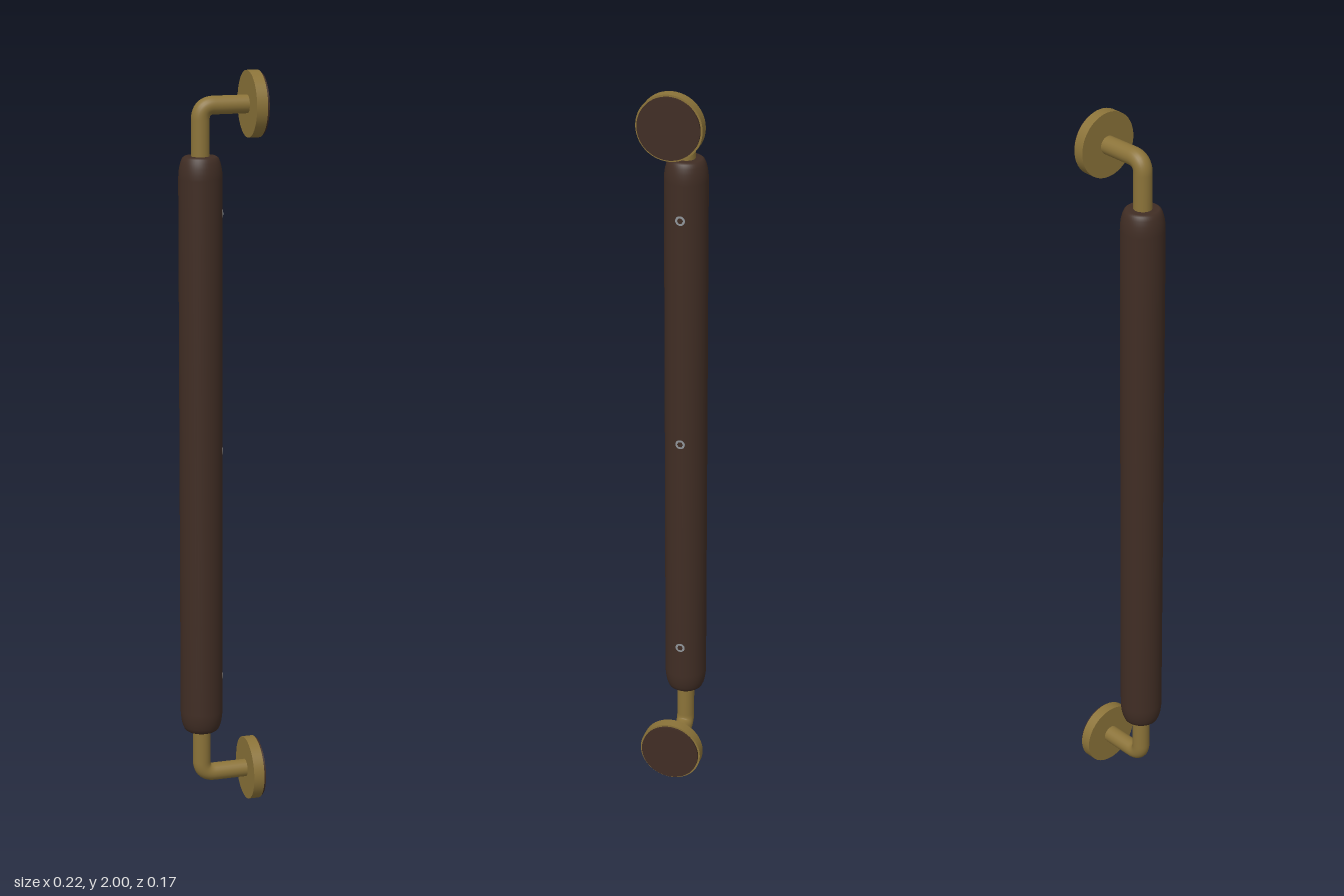
import * as THREE from 'three';

const brass = new THREE.MeshStandardMaterial({ color: 0x8b7339, name: 'brass' });
const wood = new THREE.MeshStandardMaterial({ color: 0x402d24, name: 'darkWood' });
const steel = new THREE.MeshStandardMaterial({ color: 0x8f9499, name: 'steel' });

const BAR_X = -0.052;

function add(parent, name, geometry, material, x = 0, y = 0, z = 0) {
  const mesh = new THREE.Mesh(geometry, material);
  mesh.name = name;
  mesh.position.set(x, y, z);
  parent.add(mesh);
  return mesh;
}

// Disc whose axis runs along x, from x0 to x1
function disc(parent, name, radius, x0, x1, y, material, sides = 48) {
  const geometry = new THREE.CylinderGeometry(radius, radius, x1 - x0, sides).rotateZ(-Math.PI / 2);
  return add(parent, name, geometry, material, (x0 + x1) / 2, y);
}

// Bent arm, wall flange and backing pad; side is +1 for top, -1 for bottom
function mount(side) {
  const group = new THREE.Group();
  group.name = side > 0 ? 'topMount' : 'bottomMount';
  const y = (h) => 1 + side * h;
  const bend = 0.036;
  const v = (x, h) => new THREE.Vector3(x, y(h), 0);

  const path = new THREE.CurvePath();
  path.add(new THREE.LineCurve3(v(BAR_X, 0.76), v(BAR_X, 0.914 - bend)));
  path.add(new THREE.QuadraticBezierCurve3(v(BAR_X, 0.914 - bend), v(BAR_X, 0.914), v(BAR_X + bend, 0.914)));
  path.add(new THREE.LineCurve3(v(BAR_X + bend, 0.914), v(0.08, 0.914)));
  add(group, 'arm', new THREE.TubeGeometry(path, 64, 0.024, 24), brass);

  disc(group, 'flange', 0.086, 0.073, 0.102, y(0.914), brass);
  disc(group, 'backingPad', 0.081, 0.1, 0.108, y(0.914), wood);
  return group;
}

// Fixing screw set into the bar on the wall side
function screw(y) {
  const group = new THREE.Group();
  group.name = 'screw';
  disc(group, 'screwHead', 0.013, -0.005, 0.0055, y, steel, 20);
  disc(group, 'screwSocket', 0.008, 0.005, 0.0058, y, wood, 6);
  return group;
}

export function createModel() {
  const model = new THREE.Group();
  model.name = 'pullHandle';

  // Round grip with softened ends
  const end = [[0.057, 0.728], [0.0565, 0.742], [0.0545, 0.757], [0.051, 0.771], [0.0465, 0.781], [0.041, 0.785], [0.02, 0.785]];
  const profile = [
    ...end.map(([r, h]) => new THREE.Vector2(r, 1 - h)).reverse(),
    ...end.map(([r, h]) => new THREE.Vector2(r, 1 + h)),
  ];
  add(model, 'grip', new THREE.LatheGeometry(profile, 48), wood, BAR_X);

  for (const side of [1, -1]) model.add(mount(side));
  for (const y of [0.367, 1.0, 1.635]) model.add(screw(y));
  return model;
}
